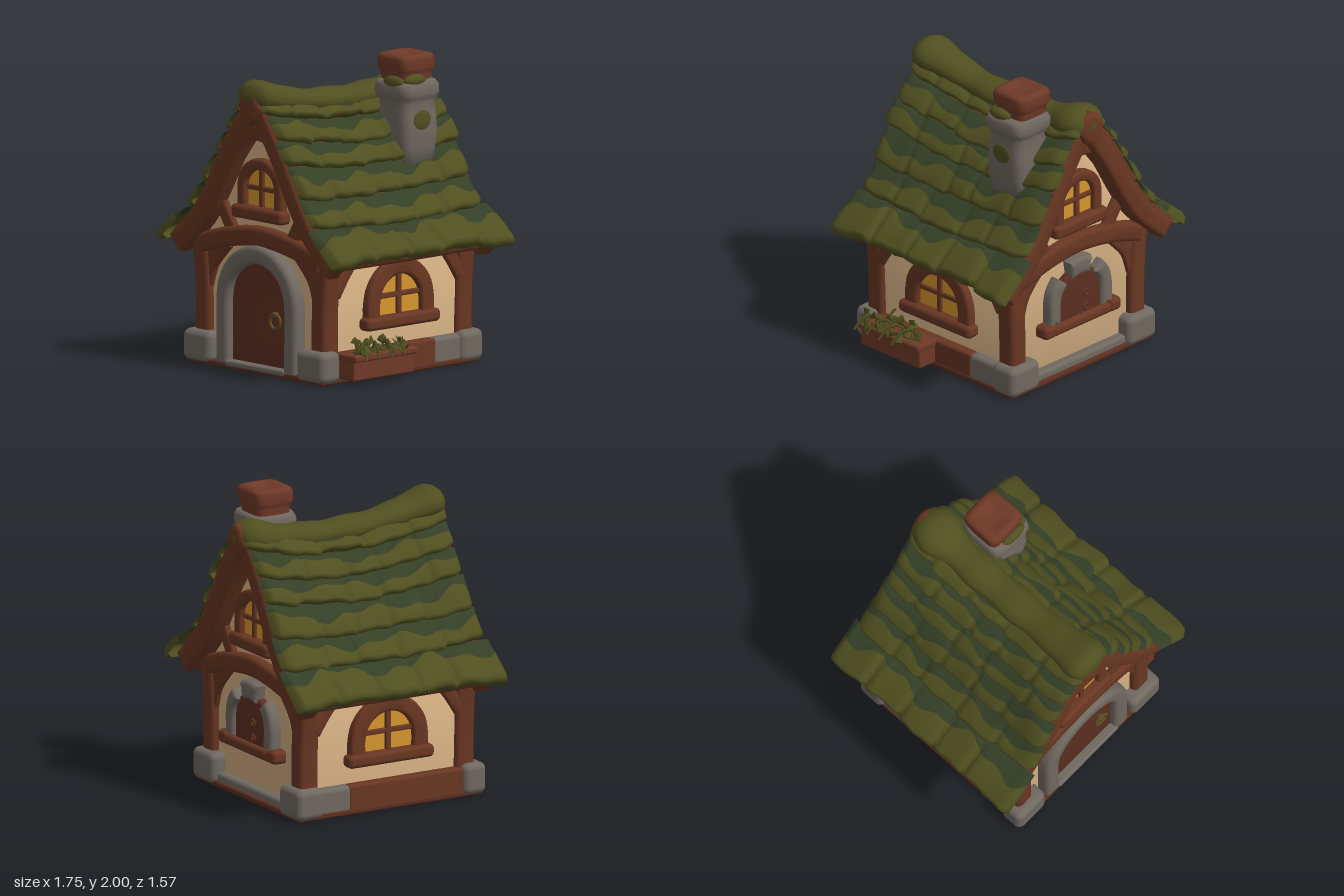
import * as THREE from 'three';
import { mergeVertices, toCreasedNormals } from 'three/addons/utils/BufferGeometryUtils.js';
import { RoundedBoxGeometry } from 'three/addons/geometries/RoundedBoxGeometry.js';

const material = (name, color) => {
  const m = new THREE.MeshStandardMaterial({ color, side: THREE.DoubleSide });
  m.name = name;
  return m;
};
const plaster = material('plaster', 0xd6b184);
const timber = material('timber', 0x683622);
const doorWood = material('door wood', 0x5b2e20);
const stone = material('stone', 0x6f6860);
const moss = material('olive moss', 0x4f4f20);
const shingle = material('dark green shingle', 0x343f26);
const glass = material('amber glass', 0xd6962e);
const clay = material('clay', 0x6f3927);
const brass = material('old brass', 0x5c4a22);

const rnd = n => { const s = Math.sin(n * 127.1 + 3.7) * 43758.5453; return s - Math.floor(s); };

function add(parent, name, geo, mat) {
  const mesh = new THREE.Mesh(geo, mat);
  mesh.name = name;
  parent.add(mesh);
  return mesh;
}

// Rounded block given by its bounds
function block(parent, name, mat, x0, x1, y0, y1, z0, z1, r = 0.025) {
  const mesh = add(parent, name, new RoundedBoxGeometry(x1 - x0, y1 - y0, z1 - z0, 3, r), mat);
  mesh.position.set((x0 + x1) / 2, (y0 + y1) / 2, (z0 + z1) / 2);
  return mesh;
}

// Shape extruded from z0 to z1 with a soft edge
function slab(parent, name, mat, shape, z0, z1, b = 0.02) {
  const geo = new THREE.ExtrudeGeometry(shape, {
    depth: z1 - z0 - 2 * b, bevelThickness: b, bevelSize: b, bevelOffset: -b, bevelSegments: 3, curveSegments: 16 });
  geo.translate(0, 0, z0 + b);
  return add(parent, name, toCreasedNormals(geo, 0.8), mat);
}

// Beam of even width following a smooth 2D path
function beam(parent, name, mat, path, width, z0, z1, b = 0.02) {
  const curve = new THREE.SplineCurve(path.map(p => new THREE.Vector2(...p)));
  const left = [], right = [], n = path.length * 4;
  for (let i = 0; i <= n; i++) {
    const p = curve.getPoint(i / n), t = curve.getTangent(i / n);
    left.push(new THREE.Vector2(p.x - t.y * width / 2, p.y + t.x * width / 2));
    right.unshift(new THREE.Vector2(p.x + t.y * width / 2, p.y - t.x * width / 2));
  }
  return slab(parent, name, mat, new THREE.Shape([...left, ...right]), z0, z1, b);
}

// Outline points of an arch, from left foot to right foot
function archPath(hw, y0, spring, top) {
  const pts = [[-hw, y0], [-hw, (y0 + spring) / 2]];
  for (let i = 0; i <= 8; i++) {
    const a = Math.PI * (1 - i / 8);
    pts.push([hw * Math.cos(a), spring + (top - spring) * Math.sin(a)]);
  }
  return [...pts, [hw, (y0 + spring) / 2], [hw, y0]];
}
const archShape = (...a) => new THREE.Shape(archPath(...a).map(p => new THREE.Vector2(...p)));

// Surface through a grid of points; matOf(j) picks the material index of a strip
function grid(ni, nj, point, flip = false, matOf = null) {
  const pos = [], index = [], geo = new THREE.BufferGeometry();
  for (let j = 0; j <= nj; j++) for (let i = 0; i <= ni; i++) pos.push(...point(i, j));
  for (let j = 0; j < nj; j++) {
    if (matOf) geo.addGroup(index.length, ni * 6, matOf(j));
    for (let i = 0; i < ni; i++) {
      const a = j * (ni + 1) + i, b = a + 1, c = a + ni + 1, d = c + 1;
      index.push(...(flip ? [a, c, b, b, c, d] : [a, b, c, b, d, c]));
    }
  }
  geo.setAttribute('position', new THREE.Float32BufferAttribute(pos, 3));
  geo.setIndex(index);
  const merged = mergeVertices(geo, 1e-5);
  merged.computeVertexNormals();
  return merged;
}

// Arched window with frame, sill, panes and crossbars
function archedWindow(parent, hw, y0, spring, top, frame, sillH, z) {
  const g = new THREE.Group();
  g.name = 'window';
  parent.add(g);
  add(g, 'panes', new THREE.ShapeGeometry(archShape(hw + 0.02, y0, spring, top + 0.02)), glass).position.z = z + 0.015;
  beam(g, 'windowFrame', timber, archPath(hw + frame / 2, y0 - 0.02, spring, top + frame / 2), frame, z - 0.02, z + 0.055);
  block(g, 'mullion', timber, -0.019, 0.019, y0, top + 0.01, z, z + 0.035, 0.01);
  const my = y0 + (top - y0) * 0.5;
  block(g, 'crossbar', timber, -hw, hw, my - 0.017, my + 0.017, z, z + 0.033, 0.01);
  block(g, 'windowSill', timber, -hw - frame - 0.03, hw + frame + 0.03, y0 - sillH, y0 + 0.005, z - 0.02, z + 0.085, 0.03);
}

// Timber framing shared by the front and back; reach pushes the roof boards outward
function gableEnd(parent, reach) {
  for (const s of [-1, 1]) {
    const m = pts => pts.map(([x, y]) => [x * s, y]);
    beam(parent, 'cornerPost', timber, m([[0.545, 0.12], [0.55, 0.5], [0.58, 0.84]]), 0.135, 0.53, 0.67, 0.03);
    beam(parent, 'bargeBoard', timber, m([[-0.02, 1.78], [0.2, 1.46], [0.38, 1.15], [0.52, 0.95], [0.74, 0.755]]), 0.135, 0.6, 0.73 + reach, 0.03);
    beam(parent, 'upperBrace', timber, m([[0.4, 1.07], [0.33, 0.97], [0.26, 0.85]]), 0.1, 0.58, 0.66);
    beam(parent, 'lowerBrace', timber, m([[0.55, 0.52], [0.49, 0.68], [0.35, 0.83]]), 0.15, 0.58, 0.65);
  }
  beam(parent, 'collarBeam', timber, [[-0.58, 0.77], [-0.3, 0.85], [0, 0.885], [0.3, 0.85], [0.58, 0.77]], 0.13, 0.58, 0.685, 0.03);
  beam(parent, 'peakTie', timber, [[-0.13, 1.55], [0, 1.57], [0.13, 1.55]], 0.11, 0.6, 0.7);
  const knob = [[0, 1.86], [-0.06, 1.83], [-0.11, 1.74], [-0.06, 1.65], [0, 1.62], [0.06, 1.65], [0.11, 1.74], [0.06, 1.83]];
  slab(parent, 'peakKnob', timber, new THREE.Shape(knob.map(p => new THREE.Vector2(...p))), 0.62, 0.77 + reach, 0.035);
  archedWindow(parent, 0.135, 1.075, 1.2, 1.32, 0.075, 0.085, 0.62);
}

// Roof slope: curve from ridge to eave, sagging towards the middle
const slope = new THREE.SplineCurve([[0.03, 1.8], [0.2, 1.62], [0.37, 1.34], [0.51, 1.095], [0.645, 0.945], [0.82, 0.78]]
  .map(p => new THREE.Vector2(...p)));
const rowEdges = [0, 0.12, 0.26, 0.4, 0.57, 0.75, 1];
const sag = z => 0.1 * Math.cos(Math.PI / 2 * Math.min(1, Math.abs(z) / 0.68));
function roofPoint(t, h, z, side) {
  const c = Math.min(t, 1), p = slope.getPointAt(c), d = slope.getTangentAt(c), over = (t - c) * 1.3;
  return [side * (p.x + d.x * over - d.y * h), p.y + d.y * over + d.x * h - sag(z) * (1 - c), z];
}

function roofRow(parent, row, side) {
  const n = 72, seed = row * 5 + (side > 0 ? 1 : 40), last = row === 5;
  const half = last ? 0.785 : 0.735 + 0.03 * rnd(seed);
  const cuts = [1, 2, 3, 4].map(k => -half + 2 * half * (k + 0.5 * (rnd(seed * 9 + k) - 0.5)) / 5);
  const t0 = rowEdges[row], span = rowEdges[row + 1] - t0;
  const geo = grid(n, 8, (i, j) => {
    const zn = 2 * i / n - 1, z = half * zn;
    const tile = cuts.filter(c => c < z).length;
    const gap = Math.min(...cuts.map(c => Math.abs(z - c)));
    const w = (last ? 0.3 : 0.43) + 0.13 * Math.sin(z * 9 + seed) + 0.08 * Math.sin(z * 23 + seed * 2);
    const section = [[0, 0.01], [w / 2, 0.035], [w, 0.05], [(w + 0.9) / 2, 0.062], [0.9, 0.066], [0.98, 0.058], [1.02, 0.035], [1.01, 0.005], [0.85, -0.02]];
    const [s, h] = section[j];
    const tip = Math.abs(zn) ** 24, corner = last ? zn ** 4 : 0;
    const lump = (1 - 0.35 * Math.exp(-((gap / 0.02) ** 2))) * (0.93 + 0.1 * Math.sin(z * 14 + seed)) * (last ? 1.25 + 0.2 * corner : 1);
    const drop = 0.022 * (rnd(seed * 3 + tile) - 0.4) + 0.004 * Math.sin(z * 31 + seed) + (last ? 0.04 * corner - 0.02 : 0) - 0.035 * tip;
    return roofPoint(t0 + s * (span * 1.03 + drop), h * lump * Math.sqrt(1 - tip), z, side);
  }, side < 0, j => (j < 2 ? 0 : 1));
  add(parent, 'shingleRow', geo, [shingle, moss]);
}

// Rounded square column from [height, half width] levels
function column(parent, name, mat, levels, x, z) {
  const geo = grid(32, levels.length - 1, (i, j) => {
    const a = (i % 32) / 32 * Math.PI * 2, c = Math.cos(a), s = Math.sin(a);
    const r = levels[j][1] / Math.pow(c ** 6 + s ** 6, 1 / 6);
    return [x + c * r, levels[j][0], z - s * r];
  });
  return add(parent, name, geo, mat);
}

export function createModel() {
  const house = new THREE.Group();
  house.name = 'cottage';

  // Walls and base
  const outline = [[-0.57, 0.03], [0.57, 0.03], [0.6, 0.8], [0.38, 1.12], [0, 1.6], [-0.38, 1.12], [-0.6, 0.8]];
  slab(house, 'walls', plaster, new THREE.Shape(outline.map(p => new THREE.Vector2(...p))), -0.59, 0.62, 0.005);
  block(house, 'baseSlab', doorWood, -0.645, 0.645, 0, 0.04, -0.67, 0.71, 0.015);

  // Gable ends
  const front = new THREE.Group(), back = new THREE.Group();
  front.name = 'frontGable';
  back.name = 'backGable';
  back.rotation.y = Math.PI;
  back.position.z = 0.03;
  house.add(front, back);
  gableEnd(front, 0);
  gableEnd(back, 0.03);

  // Front door
  slab(front, 'door', doorWood, archShape(0.28, 0.04, 0.44, 0.73), 0.6, 0.655, 0.01);
  beam(front, 'doorArch', stone, archPath(0.32, 0.015, 0.45, 0.77), 0.12, 0.58, 0.71, 0.035);
  block(front, 'doorStep', stone, -0.28, 0.28, 0.015, 0.055, 0.6, 0.715, 0.015);
  add(front, 'doorRing', new THREE.TorusGeometry(0.048, 0.011, 8, 24), brass).position.set(0.155, 0.355, 0.672);
  block(front, 'ringMount', brass, 0.135, 0.175, 0.385, 0.415, 0.65, 0.69, 0.01);

  // Back hatch with stone surround
  slab(back, 'hatch', doorWood, archShape(0.2, 0.36, 0.54, 0.71), 0.6, 0.67, 0.015);
  const ring = archPath(0.235, 0.39, 0.53, 0.735);
  [[0, 4, 0.1], [5, 7, 0.12], [8, 12, 0.1]].forEach(([a, b, w]) =>
    beam(back, 'hatchStone', stone, ring.slice(a, b + 1), w, 0.58, 0.7, 0.03));
  block(back, 'hatchSill', timber, -0.3, 0.3, 0.31, 0.385, 0.59, 0.705, 0.03);
  for (const s of [-1, 1]) block(back, 'sillEnd', timber, s * 0.3 - 0.05, s * 0.3 + 0.05, 0.315, 0.405, 0.59, 0.715, 0.03);
  for (const y of [0.43, 0.53]) add(back, 'hatchLatch', new THREE.TorusGeometry(0.02, 0.007, 6, 16), timber).position.set(0.05, y, 0.685);
  block(back, 'backFooting', stone, -0.45, 0.45, 0.015, 0.09, 0.58, 0.68, 0.025);

  // Side walls
  for (const s of [-1, 1]) {
    const wall = new THREE.Group();
    wall.name = s > 0 ? 'leftWall' : 'rightWall';
    wall.rotation.y = s * Math.PI / 2;
    wall.position.z = 0.015;
    house.add(wall);
    archedWindow(wall, 0.18, 0.39, 0.47, 0.65, 0.11, 0.08, 0.59);
    block(wall, 'eaveBeam', timber, -0.6, 0.6, 0.76, 0.88, 0.54, 0.635, 0.02);
    for (const m of [-1, 1]) beam(wall, 'sideBrace', timber, [[m * 0.55, 0.57], [m * 0.47, 0.69], [m * 0.38, 0.8]], 0.09, 0.55, 0.625);
    const [x0, x1] = s > 0 ? [0.52, 0.64] : [-0.64, -0.52];
    block(house, 'footingBeam', timber, x0, x1, 0.015, 0.195, -0.29, 0.6, 0.02);
    block(house, 'footingStone', stone, x0, x1, 0.015, 0.195, -0.54, -0.27, 0.03);
    const [c0, c1] = s > 0 ? [0.4, 0.665] : [-0.67, -0.41];
    block(house, 'frontCornerStone', stone, c0, c1, 0.01, 0.215, 0.56, 0.73, 0.045);
    block(house, 'backCornerStone', stone, c0, c1, 0.01, 0.215, -0.69, -0.49, 0.045);
  }

  // Planter with trailing leaves
  block(house, 'planterBox', clay, 0.62, 0.78, 0.03, 0.18, 0.03, 0.56, 0.015);
  block(house, 'planterRim', clay, 0.62, 0.805, 0.155, 0.2, 0.02, 0.57, 0.015);
  const leafGeo = new THREE.ConeGeometry(0.028, 0.1, 6);
  leafGeo.scale(1, 1, 0.3);
  for (let i = 0; i < 32; i++) {
    const leaf = add(house, 'leaf', leafGeo, moss);
    leaf.position.set(0.66 + 0.17 * rnd(i), 0.2 + 0.06 * rnd(i + 70), 0.08 + 0.46 * rnd(i + 140));
    leaf.rotation.set(rnd(i + 9) * 3 - 1.5, rnd(i + 31) * 6, -0.9 - 0.9 * rnd(i + 57));
  }
  for (let i = 0; i < 4; i++) {
    const z = 0.1 + i * 0.11;
    const stem = new THREE.QuadraticBezierCurve3(new THREE.Vector3(0.7, 0.18, z), new THREE.Vector3(0.76, 0.36, z + 0.05), new THREE.Vector3(0.87, 0.18, z + 0.1));
    add(house, 'stem', new THREE.TubeGeometry(stem, 10, 0.009, 5), moss);
  }

  // Roof
  const roof = new THREE.Group();
  roof.name = 'roof';
  house.add(roof);
  for (const side of [-1, 1]) {
    add(roof, 'roofDeck', grid(30, 25, (i, j) => {
      const z = 0.715 * (2 * THREE.MathUtils.clamp((i - 1) / 28, 0, 1) - 1);
      const t = 0.97 * (j <= 12 ? j / 12 : (25 - j) / 12);
      return roofPoint(t, j <= 12 || i === 0 || i === 30 ? 0 : -0.07, z, side);
    }, side < 0), timber);
    for (let row = 0; row < 6; row++) roofRow(roof, row, side);
  }
  // Ridge cap, swelling at both ends
  add(roof, 'ridgeCap', grid(48, 20, (i, j) => {
    const s = i / 24 - 1, z = 0.78 * s, a = (j % 20) / 20 * Math.PI * 2;
    const swell = 0.035 * Math.exp(-(((Math.abs(z) - 0.64) / 0.14) ** 2));
    const r = (0.093 + swell + 0.006 * Math.sin(z * 19)) * Math.pow(Math.max(0, 1 - Math.abs(s) ** 22), 0.5);
    const y = 1.805 - sag(z) * 0.95 + (s < 0 ? 0.045 * s : 0);
    return [r * 1.25 * Math.sin(a), y + r * 0.87 * Math.cos(a), z];
  }), moss);

  // Chimney
  column(house, 'chimneyStack', stone, [[1.24, 0], [1.27, 0.13], [1.4, 0.145], [1.5, 0.154], [1.62, 0.148], [1.69, 0.138],
    [1.72, 0.155], [1.75, 0.165], [1.8, 0.163], [1.83, 0.145], [1.84, 0]], 0.28, -0.365);
  column(house, 'chimneyCap', clay, [[1.8, 0.125], [1.87, 0.127], [1.89, 0.135], [1.91, 0.144], [1.97, 0.146],
    [1.99, 0.137], [2, 0.115], [2, 0.085], [1.985, 0.07], [1.98, 0]], 0.26, -0.375);
  const blob = new THREE.SphereGeometry(1, 16, 10);
  [[0.43, 1.58, -0.36, 0.012, 0.065, 0.075], [0.3, 1.82, -0.235, 0.1, 0.045, 0.035], [0.4, 1.84, -0.32, 0.04, 0.04, 0.09]].forEach(([x, y, z, a, b, c]) => {
    const patch = add(house, 'chimneyMoss', blob, moss);
    patch.position.set(x, y, z);
    patch.scale.set(a, b, c);
  });
  return house;
}
